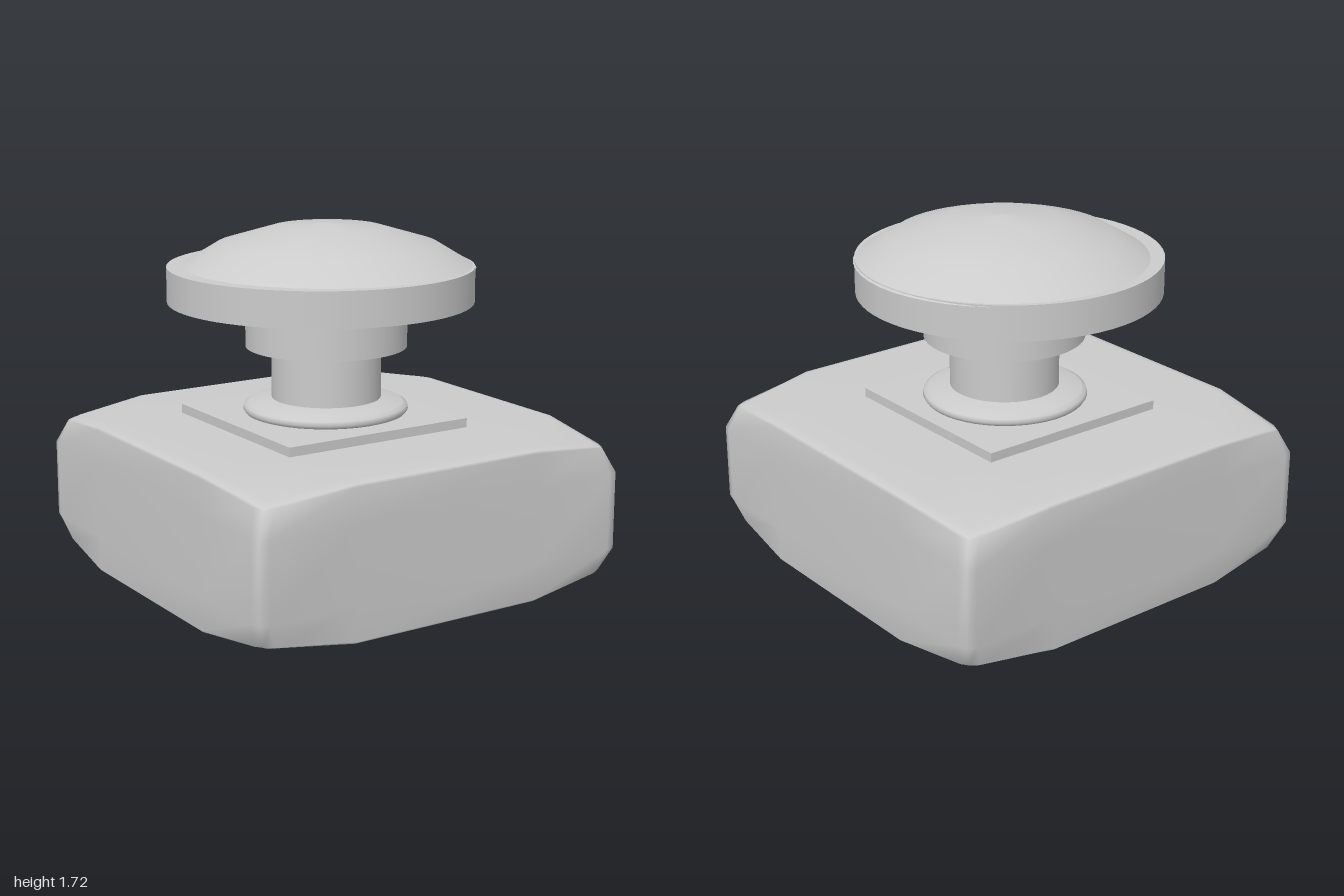
import * as THREE from 'three';
import { mergeVertices } from 'three/addons/utils/BufferGeometryUtils.js';

const material = new THREE.MeshStandardMaterial({ color: 0xcccccc });

function addPart(group, name, geometry, x, y, z = 0) {
  const mesh = new THREE.Mesh(geometry, material);
  mesh.name = name;
  mesh.position.set(x, y, z);
  group.add(mesh);
}

// Cylinder standing between two heights
function addDrum(group, name, radius, bottom, top, x) {
  const geometry = new THREE.CylinderGeometry(radius, radius, top - bottom, 64);
  addPart(group, name, geometry, x, (bottom + top) / 2);
}

// Smooth block: full edges in the middle, softened rims and drawn-in corners
function softBlock(width, height, depth) {
  const levels = [-1, -0.94, -0.5, 0.5, 0.94, 1];
  const half = [width / 2, height / 2, depth / 2];
  const rim = 0.012, cornerPull = 0.055;
  const box = new THREE.BoxGeometry(2, 2, 2, 5, 5, 5);
  box.deleteAttribute('uv');
  box.deleteAttribute('normal');
  const geometry = mergeVertices(box);
  const position = geometry.attributes.position;
  for (let i = 0; i < position.count; i++) {
    const unit = [position.getX(i), position.getY(i), position.getZ(i)]
      .map((c) => levels[Math.round((c + 1) * 2.5)]);
    const outer = unit.map((c) => Math.abs(c) > 0.99);
    const onEdge = outer.filter(Boolean).length > 1;
    const pull = cornerPull * unit.reduce((p, c) => p * Math.max(0, (Math.abs(c) - 0.5) * 2), 1);
    const moved = unit.map((c, k) =>
      c * half[k] - Math.sign(c) * (pull + (onEdge && outer[k] ? rim : 0)));
    position.setXYZ(i, ...moved);
  }
  geometry.computeVertexNormals();
  return geometry;
}

export function createModel() {
  const model = new THREE.Group();
  model.name = 'pushButton';

  // Base block and thin square plate on it
  addPart(model, 'base', softBlock(2, 0.75, 2), 0, 0.375);
  addPart(model, 'plate', new THREE.BoxGeometry(1, 0.05, 1), -0.03, 0.77);

  // Rounded ring at the foot of the stem
  const ring = [[0.36, 0.79], [0.39, 0.8], [0.4, 0.815], [0.395, 0.835], [0.37, 0.848], [0.28, 0.868], [0.25, 0.87]]
    .map(([r, y]) => new THREE.Vector2(r, y));
  addPart(model, 'footRing', new THREE.LatheGeometry(ring, 48), -0.01, 0);

  // Stem, collar and wide disc
  addDrum(model, 'stem', 0.265, 0.79, 1.12, -0.006);
  addDrum(model, 'collar', 0.39, 1.12, 1.345, -0.006);
  addDrum(model, 'disc', 0.735, 1.345, 1.515, -0.037);

  // Shallow dome on top of the disc
  const dome = [[0.71, 1.505], [0.53, 1.614], [0.27, 1.692], [0, 1.715]]
    .map(([r, y]) => new THREE.Vector2(r, y));
  addPart(model, 'dome', new THREE.LatheGeometry(dome, 48), 0, 0);

  return model;
}
